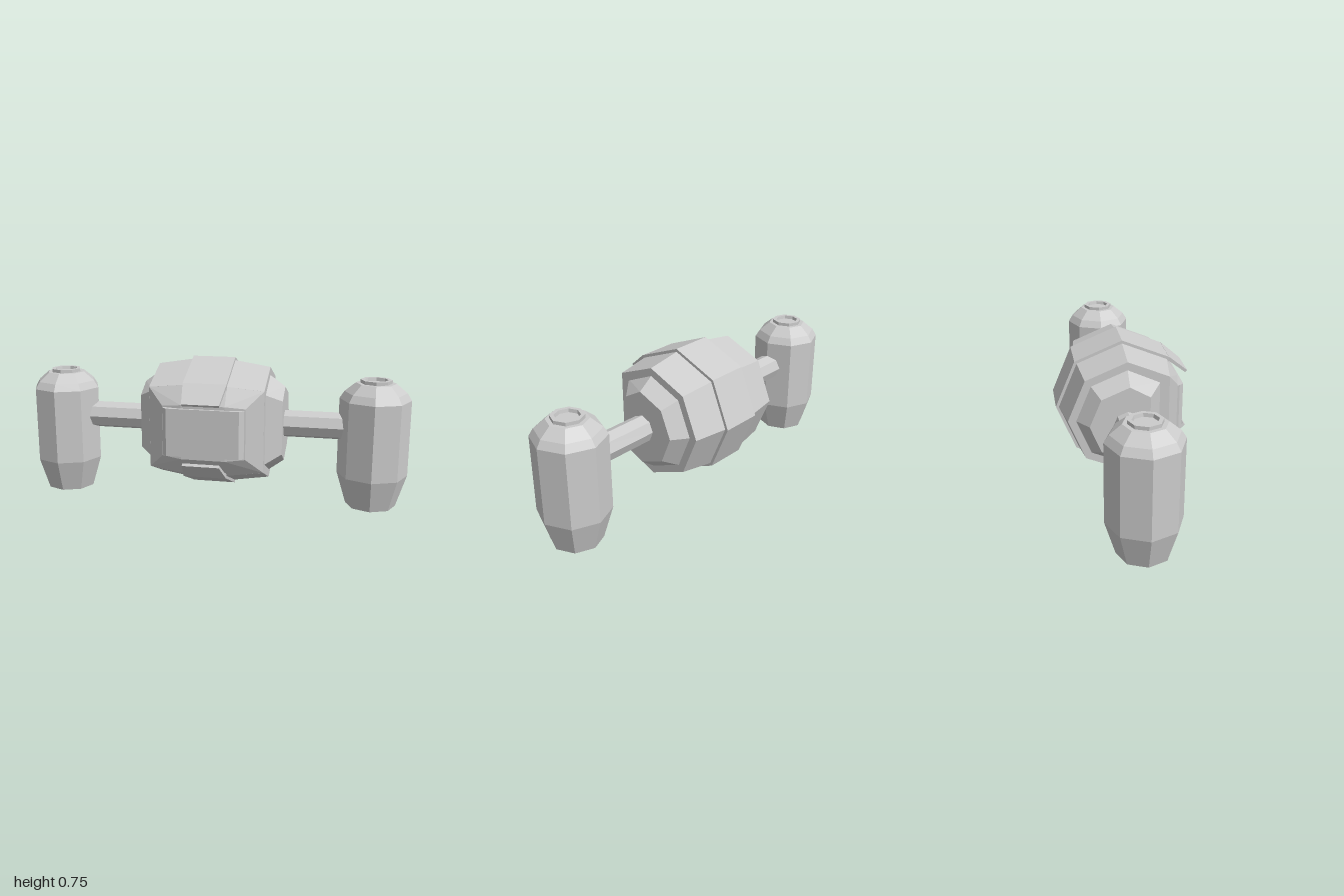
import * as THREE from 'three';
import { ConvexGeometry } from 'three/addons/geometries/ConvexGeometry.js';

const CY = 0.408; // height of the body axis
const material = new THREE.MeshStandardMaterial({ color: 0xcccccc, flatShading: true });
const openMaterial = new THREE.MeshStandardMaterial({ color: 0xcccccc, flatShading: true, side: THREE.DoubleSide });

function add(parent, name, geometry, mat = material) {
  const mesh = new THREE.Mesh(geometry, mat);
  mesh.name = name;
  parent.add(mesh);
  return mesh;
}

// Octagonal ring around the x axis, left open and cut flat at the front
function ring(x, r, frontZ = r * Math.SQRT1_2) {
  const points = [];
  for (let i = 1; i < 8; i++) {
    const a = (i * Math.PI) / 4;
    points.push(new THREE.Vector3(x, CY + r * Math.sin(a), Math.min(r * Math.cos(a), frontZ)));
  }
  return points;
}

// Corners mirrored left/right and up/down about the body axis
function mirrored(corners) {
  return corners.flatMap(([x, y, z]) =>
    [1, -1].flatMap((sx) => [1, -1].map((sy) => new THREE.Vector3(sx * x, CY + sy * y, z))));
}

function lathe(points) {
  return new THREE.LatheGeometry(points.map(([r, y]) => new THREE.Vector2(r, y)), 8);
}

export function createModel() {
  const model = new THREE.Group();
  model.name = 'podShip';

  // Faceted hull: centre band, tapered side bands and end caps
  const hull = new THREE.Group();
  hull.name = 'hull';
  model.add(hull);
  add(hull, 'centreBand', new ConvexGeometry([...ring(-0.11, 0.338), ...ring(0.11, 0.338)]));
  for (const s of [1, -1]) {
    const side = s > 0 ? 'left' : 'right';
    add(hull, side + 'Band', new ConvexGeometry([...ring(s * 0.1, 0.324), ...ring(s * 0.292, 0.293)]));
    add(hull, side + 'Cap', new ConvexGeometry([...ring(s * 0.285, 0.257, 0.165), ...ring(s * 0.37, 0.195, 0.1)]));
  }

  // Chamfered nose and the raised window panel
  add(hull, 'nose', new ConvexGeometry(mirrored([
    [0.11, 0.228, 0.228], [0.292, 0.207, 0.207], [0.11, 0.138, 0.285], [0.21, 0.128, 0.266],
  ])));
  add(hull, 'windowPanel', new ConvexGeometry(mirrored([
    [0.205, 0.121, 0.26], [0.205, 0.121, 0.278], [0.183, 0.121, 0.3],
  ])));

  // Thin visors above and below the window
  for (const s of [1, -1]) {
    const corners = [[0.11, 0.24, 0.239], [0.093, 0.155, 0.34], [0.11, 0.226, 0.228], [0.093, 0.144, 0.33]];
    const points = corners.flatMap(([x, y, z]) =>
      [1, -1].map((sx) => new THREE.Vector3(sx * x, CY + s * y, z)));
    add(hull, s > 0 ? 'upperVisor' : 'lowerVisor', new ConvexGeometry(points));
  }

  // Arms and upright engine pods
  for (const s of [1, -1]) {
    const side = s > 0 ? 'left' : 'right';
    const arm = add(model, side + 'Arm', new THREE.CylinderGeometry(0.07, 0.07, 0.34, 8));
    arm.rotation.z = Math.PI / 2;
    arm.position.set(s * 0.51, CY, -0.01);

    // Pod profile runs from the nozzle recess up to the recessed top vent
    const pod = add(model, side + 'Pod', lathe([
      [0, 0.025], [0.108, 0.025], [0.112, 0], [0.127, 0], [0.178, 0.166], [0.178, 0.555],
      [0.155, 0.592], [0.1, 0.638], [0.079, 0.638], [0.079, 0.655], [0.06, 0.655], [0.057, 0.638], [0, 0.638],
    ]), openMaterial);
    pod.position.set(s * 0.822, 0, -0.009);
  }
  return model;
}
